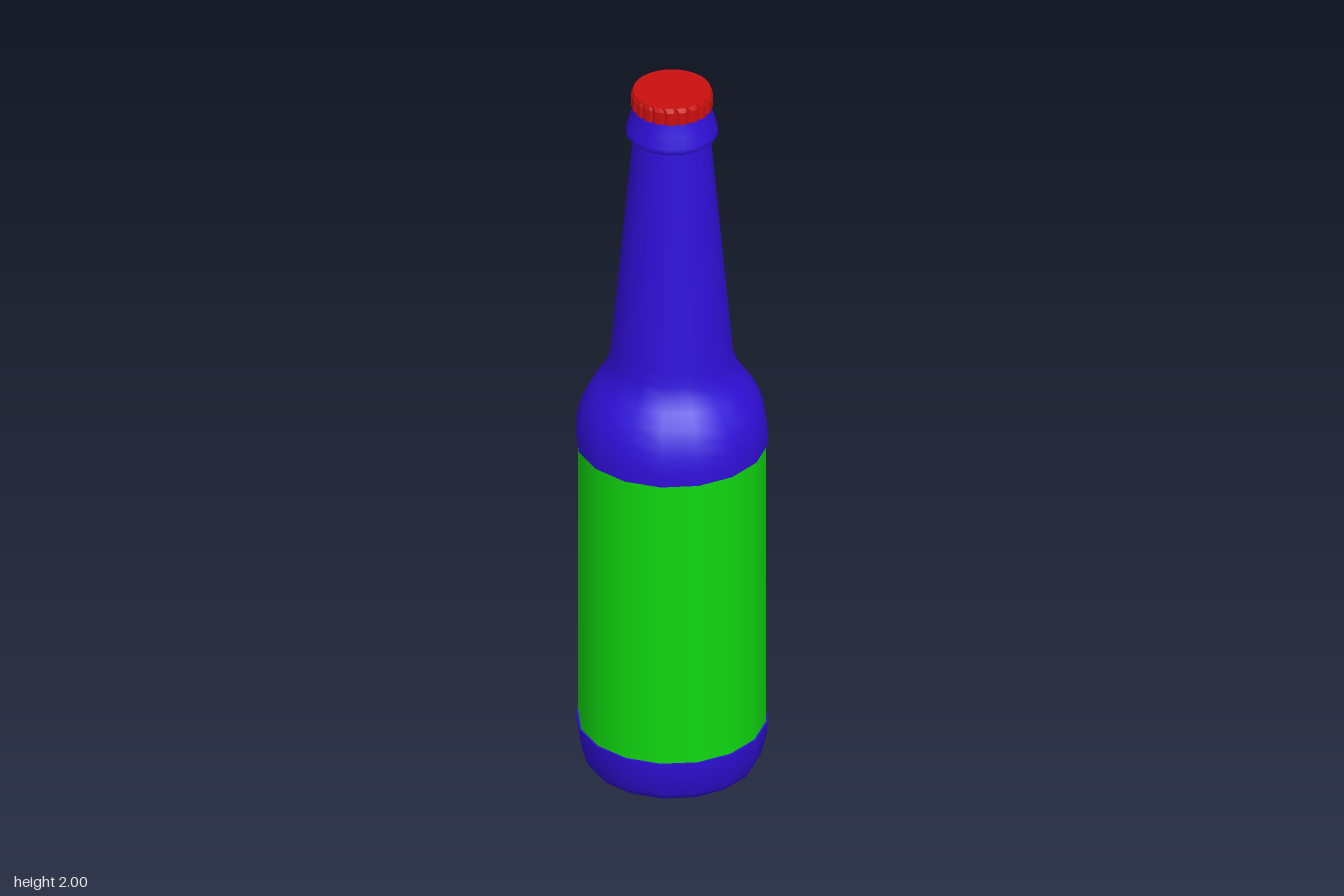
import * as THREE from 'three';
import { mergeGeometries } from 'three/addons/utils/BufferGeometryUtils.js';

const SIDES = 16;
const FLUTES = 20;

// One smooth band of revolution, from [radius, height] points running upward
const lathe = (points, sides = SIDES) =>
  new THREE.LatheGeometry(points.map(([r, y]) => new THREE.Vector2(r, y)), sides);

// Several bands with sharp edges between them
const bands = (...profiles) => mergeGeometries(profiles.map((p) => lathe(p)));

// Cap skirt with narrow grooves pressed in at regular steps
function capGeometry() {
  const steps = FLUTES * 4;
  const geo = lathe([[0.085, 1.953], [0.105, 1.953], [0.105, 1.988], [0.1, 2], [0, 2]], steps);
  const pos = geo.attributes.position;
  for (let i = 0; i < pos.count; i++) {
    const column = Math.floor(i / 5), row = i % 5;
    if (column % 4 === 2 && (row === 1 || row === 2)) {
      pos.setX(i, pos.getX(i) * 0.95);
      pos.setZ(i, pos.getZ(i) * 0.95);
    }
  }
  const flat = geo.toNonIndexed();
  flat.computeVertexNormals();
  return flat;
}

export function createModel() {
  const glass = new THREE.MeshStandardMaterial({ name: 'blue glass', color: 0x300fd8 });
  const paper = new THREE.MeshStandardMaterial({ name: 'green label', color: 0x10d810 });
  const metal = new THREE.MeshStandardMaterial({ name: 'red cap', color: 0xcc0f0f });

  const bottle = new THREE.Group();
  bottle.name = 'bottle';
  const add = (name, geometry, material) => {
    const mesh = new THREE.Mesh(geometry, material);
    mesh.name = name;
    bottle.add(mesh);
  };

  // Flat bottom, rounded foot and the small step up to the label
  add('base', bands(
    [[0, 0], [0.2, 0]],
    [[0.2, 0], [0.218, 0.006], [0.229, 0.025], [0.24, 0.065], [0.247, 0.1], [0.248, 0.125]],
    [[0.248, 0.125], [0.243, 0.125]],
  ), glass);

  add('label', lathe([[0.243, 0.125], [0.243, 0.955]]), paper);

  // Rounded shoulder running into the tapering neck
  add('shoulderAndNeck', bands(
    [[0.243, 0.955], [0.249, 0.955]],
    [[0.249, 0.955], [0.249, 0.99], [0.245, 1.025], [0.234, 1.065], [0.215, 1.105],
      [0.19, 1.14], [0.172, 1.168], [0.162, 1.2], [0.157, 1.24], [0.128, 1.56], [0.1, 1.87]],
  ), glass);

  // Flared collar below the cap
  add('collar', bands(
    [[0.098, 1.868], [0.112, 1.868]],
    [[0.112, 1.868], [0.12, 1.875], [0.119, 1.887], [0.109, 1.92], [0.104, 1.94], [0.1, 1.958]],
  ), glass);

  add('cap', capGeometry(), metal);
  return bottle;
}
